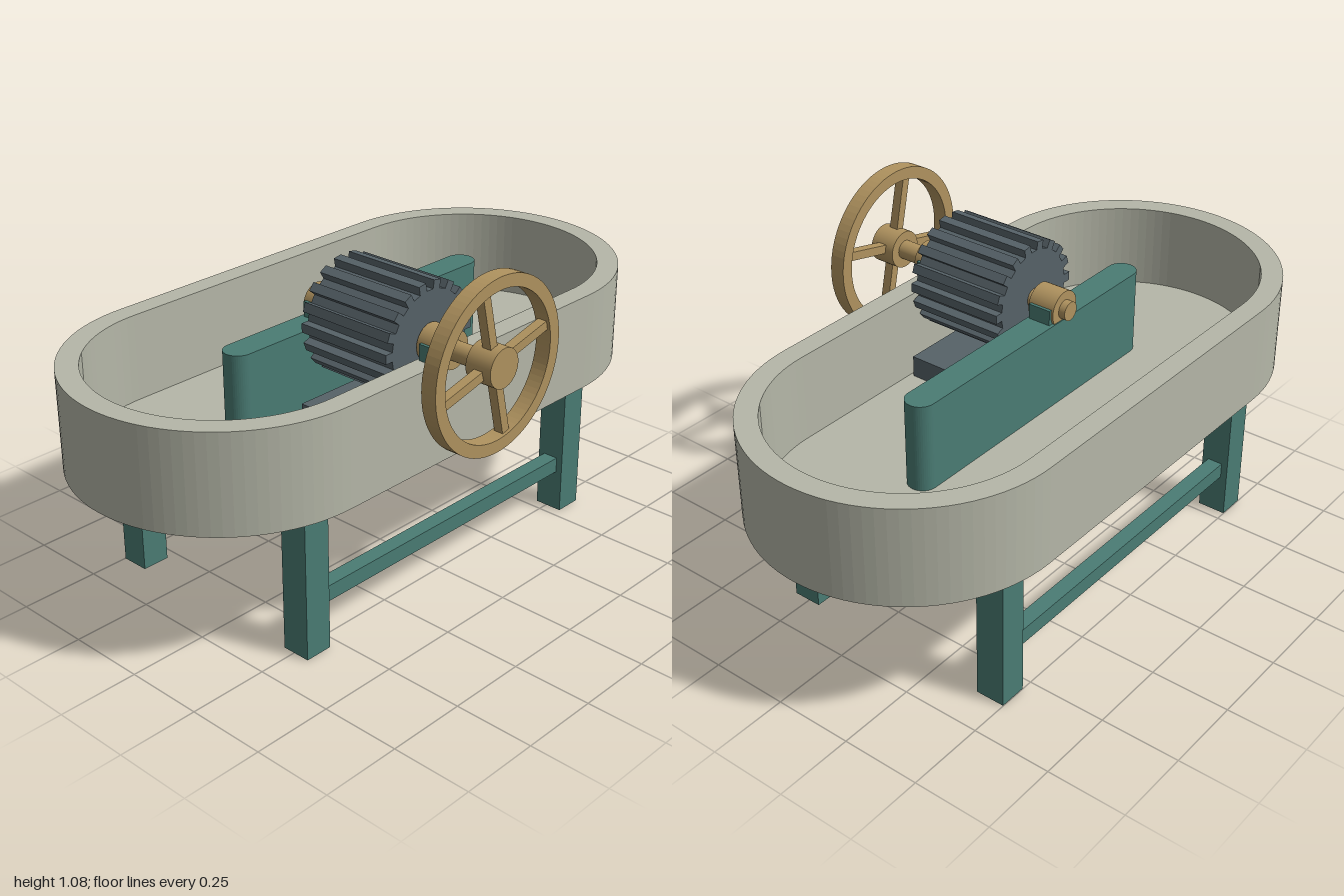
import * as THREE from 'three';

const mat = (color) => new THREE.MeshStandardMaterial({ color });
const stone = mat(0xb5b7a8), teal = mat(0x4a7c74), brass = mat(0xb0935f), iron = mat(0x566268);
const TUB_X = -0.0975, AXLE_Y = 0.8175, AXLE_Z = 0.122;

function add(parent, name, geometry, material, x = 0, y = 0, z = 0) {
  const mesh = new THREE.Mesh(geometry, material);
  mesh.name = name;
  mesh.position.set(x, y, z);
  parent.add(mesh);
  return mesh;
}

// Oblong with round ends, long axis vertical in the shape plane
function stadium(r, half, Type = THREE.Shape) {
  const s = new Type();
  s.absarc(0, half, r, 0, Math.PI, false);
  s.absarc(0, -half, r, Math.PI, Math.PI * 2, false);
  s.closePath();
  return s;
}

const extrude = (shape, depth, curveSegments = 24) =>
  new THREE.ExtrudeGeometry(shape, { depth, curveSegments, bevelEnabled: false });

// Extrusion standing up along y, or lying along x
const upright = (shape, h, seg) => extrude(shape, h, seg).rotateX(-Math.PI / 2);
const sideways = (shape, w, seg) => extrude(shape, w, seg).rotateY(Math.PI / 2);

// Round bar along x between two x positions
function bar(parent, name, r, x0, x1) {
  const g = new THREE.CylinderGeometry(r, r, x1 - x0, 32).rotateZ(Math.PI / 2);
  return add(parent, name, g, brass, (x0 + x1) / 2, AXLE_Y, AXLE_Z);
}

// Cross-section of the roll with its bars
function rollShape(teeth, root, tip, halfWidth) {
  const pts = [];
  for (let i = 0; i < teeth; i++) {
    const a = (i / teeth) * Math.PI * 2, c = Math.cos(a), s = Math.sin(a);
    for (const [r, t] of [[root, -halfWidth], [tip, -halfWidth], [tip, halfWidth], [root, halfWidth]])
      pts.push(new THREE.Vector2(r * c - t * s, r * s + t * c));
  }
  return new THREE.Shape(pts);
}

export function createModel() {
  const model = new THREE.Group();
  model.name = 'pulpBeater';

  // Tub: oblong wall, floor and dividing wall
  const wall = stadium(0.4775, 0.5225);
  wall.holes.push(stadium(0.41, 0.5225, THREE.Path));
  add(model, 'tubWall', upright(wall, 0.31), stone, TUB_X, 0.475, 0);
  add(model, 'tubFloor', upright(stadium(0.41, 0.5225), 0.035), stone, TUB_X, 0.475, 0);
  add(model, 'dividingWall', upright(stadium(0.046, 0.48), 0.28, 12), teal, TUB_X, 0.507, 0);

  // Legs and long stretchers
  for (const x of [-0.4525, 0.2575]) {
    for (const z of [-0.58, 0.58])
      add(model, 'leg', new THREE.BoxGeometry(0.093, 0.475, 0.09), teal, x, 0.2375, z);
    add(model, 'stretcher', new THREE.BoxGeometry(0.05, 0.05, 1.08), teal, x, 0.16, 0);
  }

  // Bed plate beneath the roll
  add(model, 'bedPlate', new THREE.BoxGeometry(0.325, 0.07, 0.37), iron, 0.137, 0.544, AXLE_Z);

  // Barred roll on its shaft
  add(model, 'roll', sideways(rollShape(18, 0.153, 0.179, 0.014), 0.327), iron, -0.025, AXLE_Y, AXLE_Z);
  bar(model, 'shaft', 0.03, -0.162, 0.56);

  // Bearings on their blocks
  for (const [x, width] of [[-0.095, 0.075], [0.35, 0.058]]) {
    bar(model, 'bearing', 0.058, x - 0.045, x + 0.045);
    add(model, 'bearingBlock', new THREE.BoxGeometry(width, 0.055, 0.13), teal, x, 0.8075, AXLE_Z);
  }

  // Hand wheel: rim, hub and four spokes
  const wheel = new THREE.Group();
  wheel.name = 'handWheel';
  const rim = new THREE.Shape().absarc(0, 0, 0.2625, 0, Math.PI * 2, false);
  rim.holes.push(new THREE.Path().absarc(0, 0, 0.224, 0, Math.PI * 2, true));
  add(wheel, 'rim', sideways(rim, 0.05, 40), brass, 0.505, AXLE_Y, AXLE_Z);
  bar(wheel, 'hub', 0.06, 0.485, 0.572);
  for (let i = 0; i < 4; i++) {
    const spoke = new THREE.BoxGeometry(0.03, 0.2, 0.028).translate(0, 0.135, 0);
    add(wheel, 'spoke', spoke, brass, 0.53, AXLE_Y, AXLE_Z).rotation.x = THREE.MathUtils.degToRad(13 + i * 90);
  }
  model.add(wheel);

  return model;
}
